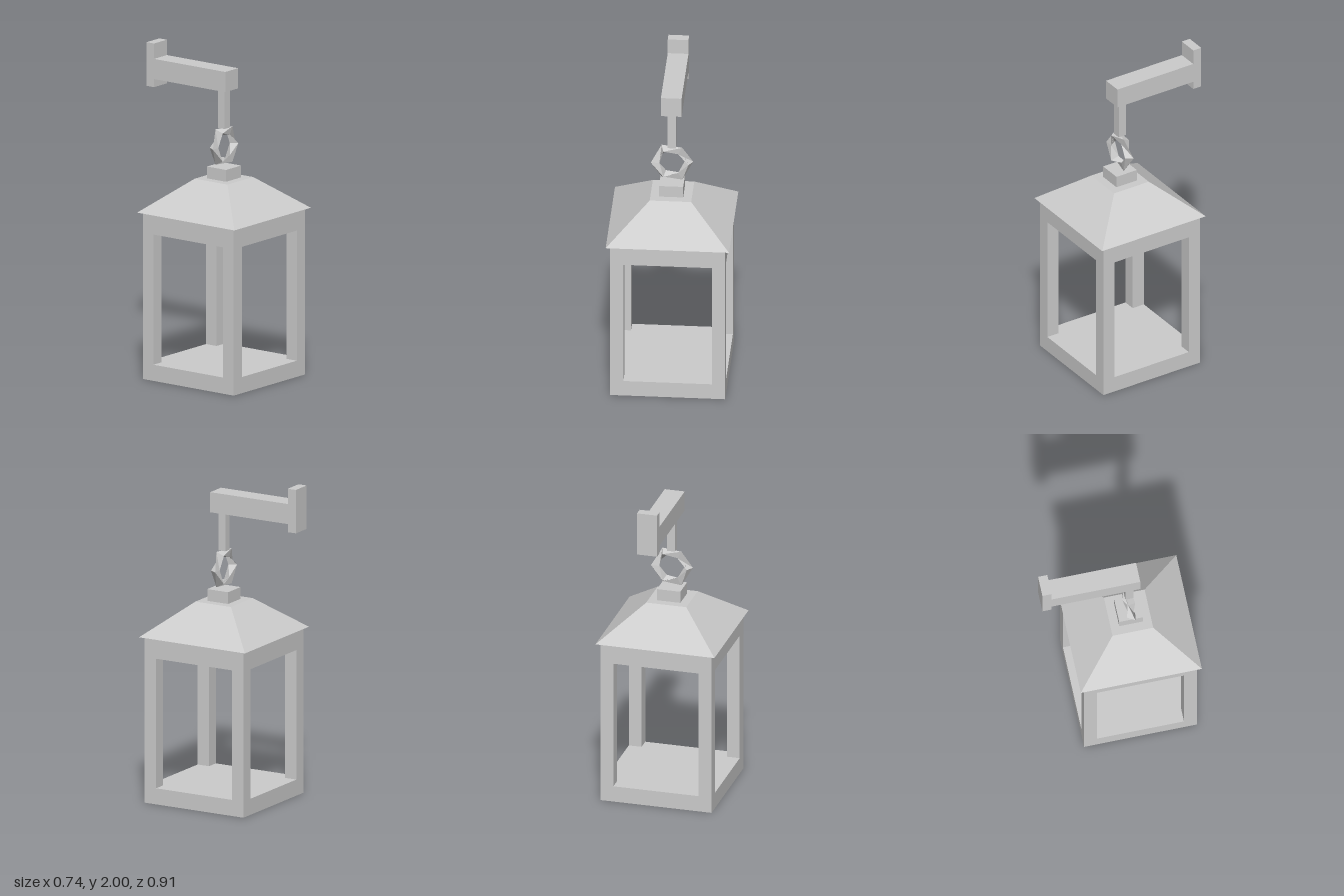
import * as THREE from 'three';

const iron = new THREE.MeshStandardMaterial({ color: 0xcccccc });
iron.name = 'grey iron';

const AXIS = 0.086; // z of the hanging lantern

function add(parent, name, geometry, x = 0, y = 0, z = 0) {
  const mesh = new THREE.Mesh(geometry, iron);
  mesh.name = name;
  mesh.position.set(x, y, z);
  parent.add(mesh);
  return mesh;
}

// Box given by its width, bottom, top, back and front
function block(parent, name, w, y0, y1, z0, z1, x = 0) {
  return add(parent, name, new THREE.BoxGeometry(w, y1 - y0, z1 - z0), x, (y0 + y1) / 2, (z0 + z1) / 2);
}

// Six-sided ring whose triangular cross-section flips at every corner
function ringGeometry(R, tube, sides) {
  const point = (i, j) => {
    const th = (i % sides) * Math.PI * 2 / sides;
    const a = (i % 2 ? 30 : -30) * Math.PI / 180 + j * Math.PI * 2 / 3;
    const r = R + tube * Math.cos(a);
    return [r * Math.cos(th), r * Math.sin(th), tube * Math.sin(a)];
  };
  const pos = [];
  for (let i = 0; i < sides; i++) {
    for (let j = 0; j < 3; j++) {
      const a = point(i, j), b = point(i + 1, j), c = point(i + 1, j + 1), d = point(i, j + 1);
      pos.push(...a, ...b, ...c, ...a, ...c, ...d);
    }
  }
  const g = new THREE.BufferGeometry();
  g.setAttribute('position', new THREE.Float32BufferAttribute(pos, 3));
  g.computeVertexNormals();
  return g;
}

export function createModel() {
  const model = new THREE.Group();
  model.name = 'wallLantern';

  // Wall bracket
  const bracket = new THREE.Group();
  bracket.name = 'bracket';
  model.add(bracket);
  block(bracket, 'wallPlate', 0.125, 1.73, 2, -0.457, -0.4);
  block(bracket, 'arm', 0.125, 1.78, 1.905, -0.4, 0.145);
  block(bracket, 'hangerRod', 0.05, 1.54, 1.78, AXIS - 0.025, AXIS + 0.025);

  // Lantern, centred under the rod
  const lantern = new THREE.Group();
  lantern.name = 'lantern';
  lantern.position.z = AXIS;
  model.add(lantern);
  add(lantern, 'ring', ringGeometry(0.101, 0.03, 6), 0, 1.43, 0);
  block(lantern, 'cap', 0.146, 1.23, 1.303, -0.073, 0.073);

  // Truncated pyramid roof
  const roof = new THREE.CylinderGeometry(0.125 * Math.SQRT2, 0.372 * Math.SQRT2, 0.2, 4)
    .rotateY(Math.PI / 4).toNonIndexed();
  roof.computeVertexNormals();
  add(lantern, 'roof', roof, 0, 1.13, 0);

  // Frame and base
  block(lantern, 'topFrame', 0.694, 0.905, 1.03, -0.347, 0.347);
  block(lantern, 'base', 0.694, 0, 0.1, -0.347, 0.347);

  // Corner posts
  for (const sx of [-1, 1]) {
    for (const sz of [-1, 1]) {
      const z = sz * 0.307;
      block(lantern, 'cornerPost', 0.08, 0.1, 0.905, z - 0.04, z + 0.04, sx * 0.307);
    }
  }
  return model;
}
